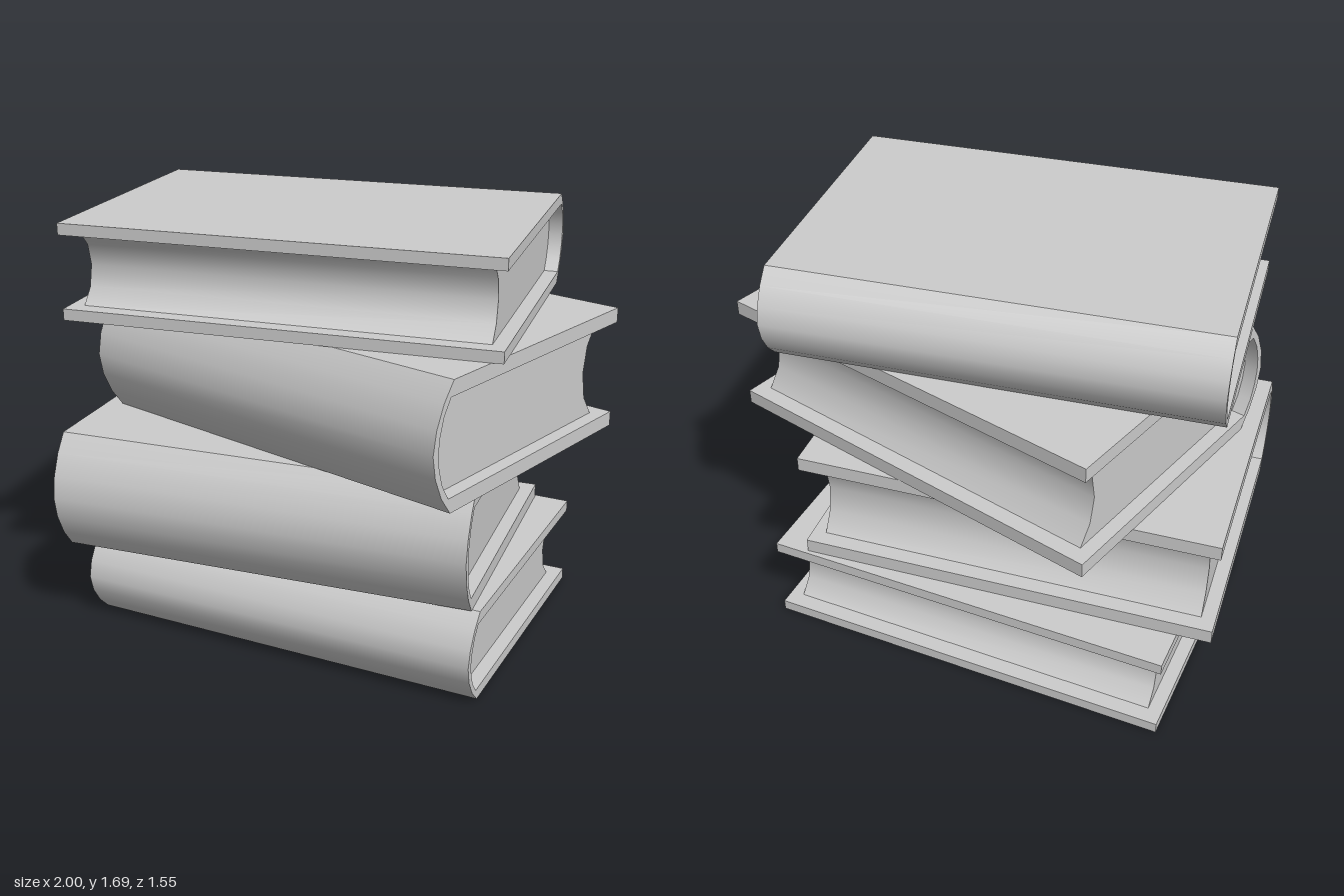
import * as THREE from 'three';
import { toCreasedNormals } from 'three/addons/utils/BufferGeometryUtils.js';

const LENGTH = 1.65;
const PAGE_INSET = 0.055;

// Half profiles as [depth, height], height 0 at mid-thickness and 1 at the outer face
const OUTER = [[-0.588, 1], [0.481, 1], [0.533, 0.71], [0.571, 0.36], [0.587, 0]];
const INNER = [[-0.588, 0.76], [0.494, 0.76], [0.53, 0.52], [0.55, 0.25], [0.557, 0]];
const FORE_EDGE = [[-0.523, 0.76], [-0.47, 0.44], [-0.45, 0]];

// Full top-to-bottom profile, mirrored about mid-thickness
function mirrored(half) {
  return [...half, ...half.slice(0, -1).reverse().map(([z, y]) => [z, -y])];
}

// Extrude a side profile along the book's length, centred on x
function extrudeProfile(points, height, length, material) {
  const shape = new THREE.Shape(points.map(([z, y]) => new THREE.Vector2(z, y * height / 2)));
  const geometry = new THREE.ExtrudeGeometry(shape, { depth: length, bevelEnabled: false });
  geometry.translate(0, 0, -length / 2);
  geometry.rotateY(-Math.PI / 2);
  return new THREE.Mesh(toCreasedNormals(geometry, 0.7), material);
}

function createBook(height, material) {
  const book = new THREE.Group();

  // Two boards joined by a rounded spine
  const cover = extrudeProfile(
    [...mirrored(OUTER), ...mirrored(INNER).reverse()], height, LENGTH, material);
  cover.name = 'cover';

  // Page block: rounded at the spine, hollow at the fore edge
  const pages = extrudeProfile(
    [...mirrored(INNER.slice(1)), ...mirrored(FORE_EDGE).reverse()],
    height, LENGTH - 2 * PAGE_INSET, material);
  pages.name = 'pages';

  book.add(cover, pages);
  return book;
}

export function createModel() {
  const model = new THREE.Group();
  model.name = 'bookStack';
  const material = new THREE.MeshStandardMaterial({ color: 0xcccccc });

  // Bottom to top: thickness, centre and turn in degrees
  const stack = [
    { name: 'bottomBook', height: 0.368, x: -0.045, z: -0.037, turn: 0 },
    { name: 'secondBook', height: 0.477, x: -0.12, z: 0.06, turn: 5.9 },
    { name: 'thirdBook', height: 0.48, x: 0.055, z: -0.003, turn: -14.3 },
    { name: 'topBook', height: 0.365, x: -0.068, z: -0.015, turn: 188 },
  ];
  let y = 0;
  for (const { name, height, x, z, turn } of stack) {
    const book = createBook(height, material);
    book.name = name;
    book.position.set(x, y + height / 2, z);
    book.rotation.y = THREE.MathUtils.degToRad(turn);
    model.add(book);
    y += height;
  }
  return model;
}
